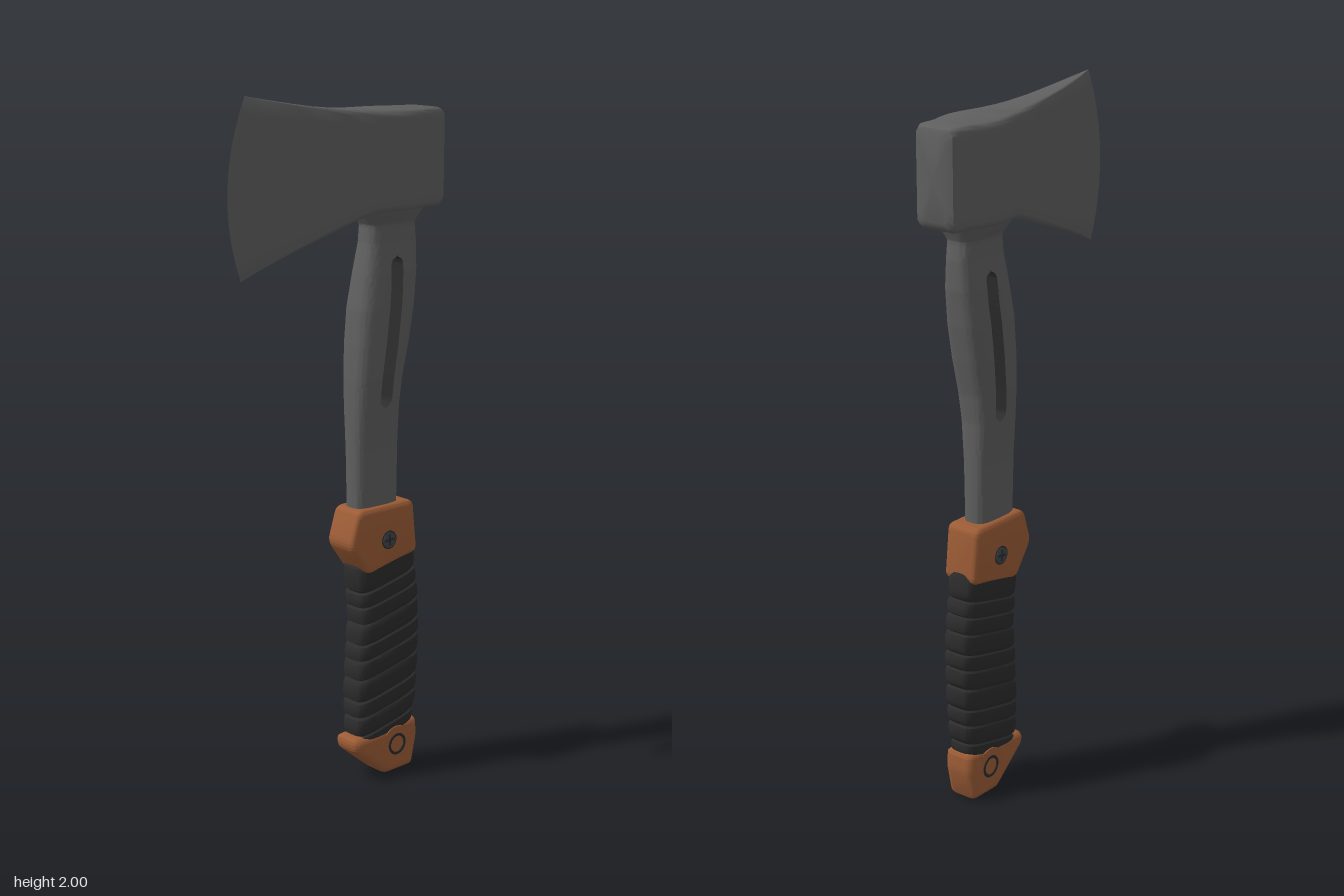
import * as THREE from 'three';
import { toCreasedNormals } from 'three/addons/utils/BufferGeometryUtils.js';

const mat = (name, color) => {
  const m = new THREE.MeshStandardMaterial({ color });
  m.name = name;
  return m;
};

// Skin a list of equal-length rings; optionally close each ring and cap the ends.
function loft(rings, closed = true, caps = true, crease = 0.7) {
  const n = rings[0].length, pos = rings.flat(2), idx = [];
  const last = closed ? n : n - 1;
  for (let i = 0; i < rings.length - 1; i++) {
    for (let j = 0; j < last; j++) {
      const a = i * n + j, b = i * n + (j + 1) % n;
      idx.push(a, b, b + n, a, b + n, a + n);
    }
  }
  if (caps) {
    [0, rings.length - 1].forEach((r, end) => {
      const c = pos.length / 3;
      for (let k = 0; k < 3; k++) pos.push(rings[r].reduce((s, p) => s + p[k], 0) / n);
      for (let j = 0; j < n; j++) {
        const a = r * n + j, b = r * n + (j + 1) % n;
        idx.push(...(end ? [a, b, c] : [b, a, c]));
      }
    });
  }
  const g = new THREE.BufferGeometry();
  g.setAttribute('position', new THREE.Float32BufferAttribute(pos, 3));
  g.setIndex(idx);
  return toCreasedNormals(g, crease);
}

const spow = (v, e) => Math.sign(v) * Math.abs(v) ** e;

// Linear lookup in a table whose first column is ascending.
function lookup(table, t) {
  let i = 0;
  while (i < table.length - 2 && t > table[i + 1][0]) i++;
  const a = table[i], b = table[i + 1];
  const k = THREE.MathUtils.clamp((t - a[0]) / (b[0] - a[0]), 0, 1);
  return a.map((v, c) => v + (b[c] - v) * k);
}

// Polygon in (z, y) with rounded corners.
function roundedPoly(pts, r) {
  const v = pts.map((p) => new THREE.Vector2(...p));
  const s = new THREE.Shape();
  v.forEach((p, i) => {
    const toward = (q) => p.clone().add(q.clone().sub(p).setLength(r));
    const a = toward(v[(i + v.length - 1) % v.length]), b = toward(v[(i + 1) % v.length]);
    if (i) s.lineTo(a.x, a.y); else s.moveTo(a.x, a.y);
    s.quadraticCurveTo(p.x, p.y, b.x, b.y);
  });
  s.closePath();
  return s;
}

// Side profile extruded across x with rounded edges.
function slab(shape, half, bevel) {
  const g = new THREE.ExtrudeGeometry(shape, {
    depth: 2 * (half - bevel), bevelSize: bevel, bevelThickness: bevel,
    bevelOffset: -bevel, bevelSegments: 4, curveSegments: 20,
  });
  g.translate(0, 0, -(half - bevel)).rotateY(-Math.PI / 2);
  return toCreasedNormals(g, 0.6);
}

// Square-section ring whose axis runs along x.
function bushing(inner, outer, half) {
  const p = [[inner, -half], [outer, -half], [outer, half], [inner, half], [inner, -half]];
  const g = new THREE.LatheGeometry(p.map((q) => new THREE.Vector2(...q)), 32);
  return toCreasedNormals(g.rotateZ(Math.PI / 2), 0.6);
}

// Head cross-section: tall rounded rectangle, bowed forward by sag.
function headRing([z, w, y0, y1, r, sag]) {
  r = Math.min(r, w * 0.9);
  const pts = [], c = (y0 + y1) / 2, h = (y1 - y0) / 2;
  const corner = (cx, cy, start) => {
    for (let k = 0; k <= 4; k++) {
      const a = start + k * Math.PI / 8;
      pts.push([cx + r * Math.cos(a), cy + r * Math.sin(a)]);
    }
  };
  const side = (x, from, to) => {
    for (let k = 1; k < 12; k++) pts.push([x, from + (to - from) * k / 12]);
  };
  corner(w - r, y0 + r, -Math.PI / 2);
  side(w, y0 + r, y1 - r);
  corner(w - r, y1 - r, 0);
  corner(r - w, y1 - r, Math.PI / 2);
  side(-w, y1 - r, y0 + r);
  corner(r - w, y0 + r, Math.PI);
  return pts.map(([x, y]) => {
    const v = (y - c) / h;
    return [x, y, z + sag * (1 - v * v) - 0.2 * sag * v];
  });
}

export function createModel() {
  const steel = mat('steel', 0x5f5f5f);
  const copper = mat('copper', 0x9c5c36);
  const black = mat('black wrap', 0x2c2c2c);
  const screwSteel = mat('screw steel', 0x42474a);
  const group = new THREE.Group();
  const add = (name, geo, m, x = 0, y = 0, z = 0) => {
    const mesh = new THREE.Mesh(geo, m);
    mesh.name = name;
    mesh.position.set(x, y, z);
    group.add(mesh);
    return mesh;
  };

  // Axe head: z, half width, bottom, top, corner radius, forward bow
  add('axeHead', loft([
    [-0.358, 0.045, 1.695, 1.92, 0.02, 0],
    [-0.352, 0.06, 1.68, 1.935, 0.02, 0],
    [-0.335, 0.068, 1.67, 1.942, 0.02, 0],
    [-0.28, 0.07, 1.67, 1.943, 0.02, 0],
    [-0.25, 0.082, 1.67, 1.943, 0.02, 0],
    [-0.2, 0.09, 1.67, 1.944, 0.02, 0],
    [-0.16, 0.087, 1.67, 1.945, 0.02, 0],
    [-0.1, 0.07, 1.667, 1.947, 0.018, 0],
    [-0.05, 0.06, 1.655, 1.949, 0.016, 0],
    [0, 0.05, 1.638, 1.953, 0.014, 0.002],
    [0.08, 0.038, 1.611, 1.962, 0.01, 0.007],
    [0.16, 0.027, 1.583, 1.974, 0.007, 0.018],
    [0.25, 0.014, 1.548, 1.989, 0.004, 0.038],
    [0.31, 0.0008, 1.52, 2, 0.0005, 0.05],
  ].map(headRing)), steel);

  // Handle: y, front z, back z, half width
  const handle = [
    [0.8, -0.065, -0.22, 0.038], [1, -0.062, -0.22, 0.042], [1.12, -0.06, -0.221, 0.05],
    [1.2, -0.06, -0.23, 0.055], [1.3, -0.064, -0.252, 0.059], [1.4, -0.072, -0.27, 0.059],
    [1.5, -0.09, -0.282, 0.053], [1.58, -0.106, -0.283, 0.045], [1.63, -0.11, -0.277, 0.044],
    [1.66, -0.09, -0.29, 0.064], [1.69, -0.07, -0.31, 0.08],
  ];
  const slotLow = 1.12, slotHigh = 1.54, slotR = 0.022, exp = 0.58;
  const bars = { 1: [], '-1': [] }, walls = { 1: [], '-1': [] };
  for (let i = 0; i <= 160; i++) {
    const y = 0.8 + 0.89 * i / 160;
    const [, zf, zb, w] = lookup(handle, y);
    const mid = (zf + zb) / 2, a = (zf - zb) / 2;
    const slotZ = lookup([[slotLow, -0.15], [1.2, -0.154], [1.45, -0.184], [slotHigh, -0.189]], y)[1];
    const d = Math.min(y - slotLow, slotHigh - y, slotR);
    const open = d > 0 ? Math.sqrt(slotR ** 2 - (slotR - d) ** 2) : 0;
    for (const s of [1, -1]) {
      // Half ring ending exactly on the slot edge
      const reach = Math.acos(spow(s * (slotZ + s * open - mid) / a, 1 / exp));
      const ring = [];
      for (let j = 0; j <= 24; j++) {
        const t = (j / 12 - 1) * reach;
        ring.push([s * w * spow(Math.sin(t), exp), y, mid + s * a * spow(Math.cos(t), exp)]);
      }
      bars[s].push(ring);
      if (y > slotLow - 0.006 && y < slotHigh + 0.006) walls[s].push([ring[24], ring[0]]);
    }
  }
  for (const [s, side] of [[1, 'front'], [-1, 'back']]) {
    add(side + 'HandleHalf', loft(bars[s], false, false), steel);
    add(side + 'SlotWall', loft(walls[s], false, false), black);
  }

  // Wrapped grip: slanted bands with grooves between
  const grip = [
    [0.12, -0.065, -0.28, 0.046], [0.2, -0.062, -0.294, 0.052], [0.3, -0.06, -0.3, 0.053],
    [0.42, -0.066, -0.303, 0.053], [0.52, -0.074, -0.298, 0.053], [0.68, -0.06, -0.275, 0.053],
  ];
  const pitches = [0.045, 0.06, 0.05, 0.066, 0.058, 0.048, 0.062, 0.05, 0.046, 0.085];
  const gripRings = [];
  let base = 0.115;
  for (const p of pitches) {
    for (const [k, inset] of [[0, 0.011], [0.1, 0.003], [0.3, 0], [0.7, 0], [0.9, 0.003], [0.99, 0.011]]) {
      const y = base + p * k;
      const [, zf, zb, w] = lookup(grip, y);
      const c = (zf + zb) / 2, a = (zf - zb) / 2 - inset, ring = [];
      for (let j = 0; j < 40; j++) {
        const t = j / 40 * Math.PI * 2;
        const dz = a * spow(Math.cos(t), 0.5);
        ring.push([(w - inset * 0.6) * spow(Math.sin(t), 0.5), y - 0.22 * dz, c + dz]);
      }
      gripRings.push(ring);
    }
    base += p;
  }
  add('gripWrap', loft(gripRings, true, true, 0.6), black);

  // Collar with a cross-head screw on each side
  add('collar', slab(roundedPoly([
    [-0.05, 0.832], [-0.258, 0.832], [-0.275, 0.674], [-0.085, 0.636], [-0.018, 0.73],
  ], 0.022), 0.056, 0.016), copper);
  for (const s of [1, -1]) {
    const disc = (r, h) => new THREE.CylinderGeometry(r, r, h, 24).rotateZ(Math.PI / 2);
    add('screwRim', disc(0.027, 0.006), black, s * 0.055, 0.73, -0.16);
    add('screwHead', disc(0.023, 0.008), screwSteel, s * 0.0555, 0.73, -0.16);
    for (const turn of [0, Math.PI / 2]) {
      const bar = add('screwSlot', new THREE.BoxGeometry(0.003, 0.034, 0.007), black, s * 0.0588, 0.73, -0.16);
      bar.rotation.x = turn + 0.1;
    }
  }

  // Pommel with a lined lanyard hole
  const pommel = roundedPoly([
    [-0.045, 0.136], [-0.287, 0.155], [-0.292, 0.1], [-0.272, 0.004], [-0.165, 0.001], [-0.045, 0.1],
  ], 0.016);
  const hole = new THREE.Path();
  hole.absarc(-0.203, 0.09, 0.03, 0, Math.PI * 2, true);
  pommel.holes.push(hole);
  add('pommel', slab(pommel, 0.05, 0.024), copper);
  add('holeSurround', bushing(0.03, 0.056, 0.0503), copper, 0, 0.09, -0.203);
  add('holeLining', bushing(0.025, 0.033, 0.052), black, 0, 0.09, -0.203);

  return group;
}
